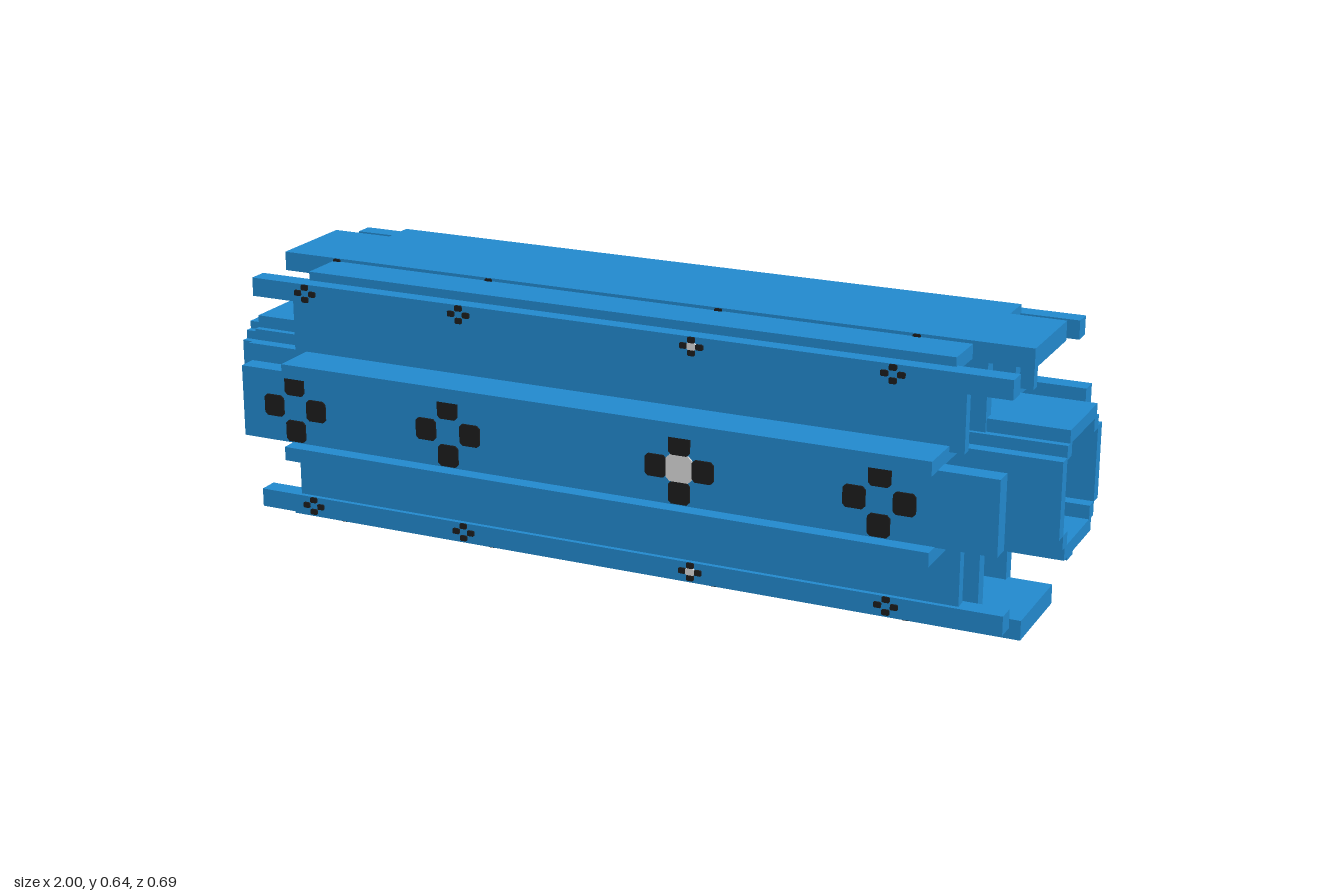
import * as THREE from 'three';

const blue = new THREE.MeshStandardMaterial({ color: 0x2288cc });
blue.name = 'blue';
const black = new THREE.MeshStandardMaterial({ color: 0x1c1c1c });
black.name = 'black';
const white = new THREE.MeshStandardMaterial({ color: 0xd8d8d8 });
white.name = 'lightGrey';

export function createModel() {
  const model = new THREE.Group();
  model.name = 'channelBeam';

  // Bar running along x, given by its extents
  function bar(name, [x0, x1], y0, y1, z0, z1) {
    const mesh = new THREE.Mesh(new THREE.BoxGeometry(x1 - x0, y1 - y0, z1 - z0), blue);
    mesh.position.set((x0 + x1) / 2, (y0 + y1) / 2, (z0 + z1) / 2);
    mesh.name = name;
    model.add(mesh);
  }

  const long = [-0.88, 0.92], mid = [-0.78, 0.82], short = [-0.75, 0.787], tube = [-0.97, 1];

  // Central open-ended tube with stepped corners
  bar('tubeTop', tube, 0.445, 0.475, -0.098, 0.098);
  bar('tubeBottom', tube, 0.188, 0.218, -0.098, 0.098);
  for (const s of [1, -1]) {
    const z = [0.113 * s, 0.143 * s].sort((a, b) => a - b);
    bar('tubeSide', tube, 0.248, 0.42, z[0], z[1]);
    const c = [0.083 * s, 0.114 * s].sort((a, b) => a - b);
    bar('tubeCornerUpper', tube, 0.415, 0.446, c[0], c[1]);
    bar('tubeCornerLower', tube, 0.217, 0.249, c[0], c[1]);
  }

  // Stepped cap closing the tube at one end
  const cap = new THREE.Shape();
  const steps = [[0.122, 0.085], [0.105, 0.085], [0.105, 0.105], [0.088, 0.105], [0.088, 0.123]];
  const outline = [
    ...steps,
    ...steps.map(([z, y]) => [-z, y]).reverse(),
    ...steps.map(([z, y]) => [-z, -y]),
    ...steps.map(([z, y]) => [z, -y]).reverse(),
  ];
  cap.setFromPoints(outline.map(([z, y]) => new THREE.Vector2(z, y)));
  const capMesh = new THREE.Mesh(new THREE.ExtrudeGeometry(cap, { depth: 0.031, bevelEnabled: false }), blue);
  capMesh.rotation.y = Math.PI / 2;
  capMesh.position.set(-1, 0.332, 0);
  capMesh.name = 'endCap';
  model.add(capMesh);

  // Top and bottom plates with their webs
  bar('topPlate', long, 0.598, 0.642, -0.115, 0.108);
  bar('bottomPlate', long, 0, 0.045, -0.108, 0.117);
  bar('upperWebFront', mid, 0.44, 0.6, 0.071, 0.104);
  bar('upperWebBack', mid, 0.42, 0.635, -0.125, -0.092);
  bar('lowerWebFront', mid, 0.044, 0.22, 0.071, 0.104);
  bar('lowerWebBack', mid, 0.018, 0.225, -0.125, -0.092);

  // Wing plates, corner rails and thin webs
  bar('upperWingFront', short, 0.603, 0.635, 0.1, 0.212);
  bar('upperWingBack', short, 0.603, 0.634, -0.222, -0.11);
  bar('lowerWingFront', short, 0.043, 0.075, 0.11, 0.212);
  bar('lowerWingBack', short, 0.043, 0.075, -0.222, -0.105);
  for (const [side, z0, z1, w0, w1] of [['Front', 0.203, 0.248, 0.212, 0.237], ['Back', -0.26, -0.217, -0.257, -0.232]]) {
    bar('upperRail' + side, long, 0.572, 0.615, z0, z1);
    bar('lowerRail' + side, long, 0.062, 0.105, z0, z1);
    bar('upperThinWeb' + side, mid, 0.44, 0.573, w0, w1);
    bar('lowerThinWeb' + side, mid, 0.104, 0.238, w0, w1);
  }

  // Side arms and outer side panels
  for (const [name, y0] of [['upperArm', 0.421], ['lowerArm', 0.225]]) {
    bar(name + 'Front', short, y0, y0 + 0.032, 0.136, 0.343);
    bar(name + 'Back', short, y0, y0 + 0.032, -0.343, -0.118);
  }
  bar('sidePanelFront', long, 0.256, 0.423, 0.263, 0.307);
  bar('sidePanelBack', long, 0.257, 0.438, -0.341, -0.297);

  // Thin square stud with clipped corners
  const c = 0.36;
  const stud = new THREE.Shape([[0.5, c], [c, 0.5], [-c, 0.5], [-0.5, c], [-0.5, -c], [-c, -0.5], [c, -0.5], [0.5, -c]]
    .map(([x, y]) => new THREE.Vector2(x, y)));
  const studGeo = new THREE.ExtrudeGeometry(stud, { depth: 0.005, bevelEnabled: false });

  // A row of four cross marks; the third has a light centre
  function markRow(name, y, z, sx, sy, parent) {
    const row = new THREE.Group();
    row.name = name;
    [-0.74, -0.345, 0.215, 0.665].forEach((x, i) => {
      const spots = [[1, 0], [-1, 0], [0, 1], [0, -1]];
      if (i === 2) spots.push([0, 0]);
      spots.forEach(([dx, dy], k) => {
        const m = new THREE.Mesh(studGeo, k === 4 ? white : black);
        const grow = k === 4 ? 1.2 : 1;
        m.scale.set(sx * grow, sy * grow, 1);
        m.position.set(x + dx * sx * 1.1, y + dy * sy * 1.1, z);
        m.name = k === 4 ? 'markCentre' : 'mark';
        row.add(m);
      });
    });
    parent.add(row);
  }

  // Marks on both long sides, the back turned half way round
  for (const back of [false, true]) {
    const side = new THREE.Group();
    side.name = back ? 'backMarks' : 'frontMarks';
    if (back) side.rotation.y = Math.PI;
    markRow('panelMarks', back ? 0.346 : 0.34, back ? 0.34 : 0.306, 0.05, 0.05, side);
    const railZ = back ? 0.259 : 0.247;
    markRow('upperRailMarks', 0.594, railZ, 0.017, 0.013, side);
    markRow('lowerRailMarks', 0.084, railZ, 0.017, 0.013, side);
    markRow('topPlateMarks', 0.62, back ? 0.114 : 0.107, 0.017, 0.013, side);
    markRow('bottomPlateMarks', 0.022, back ? 0.107 : 0.116, 0.017, 0.013, side);
    model.add(side);
  }
  return model;
}
